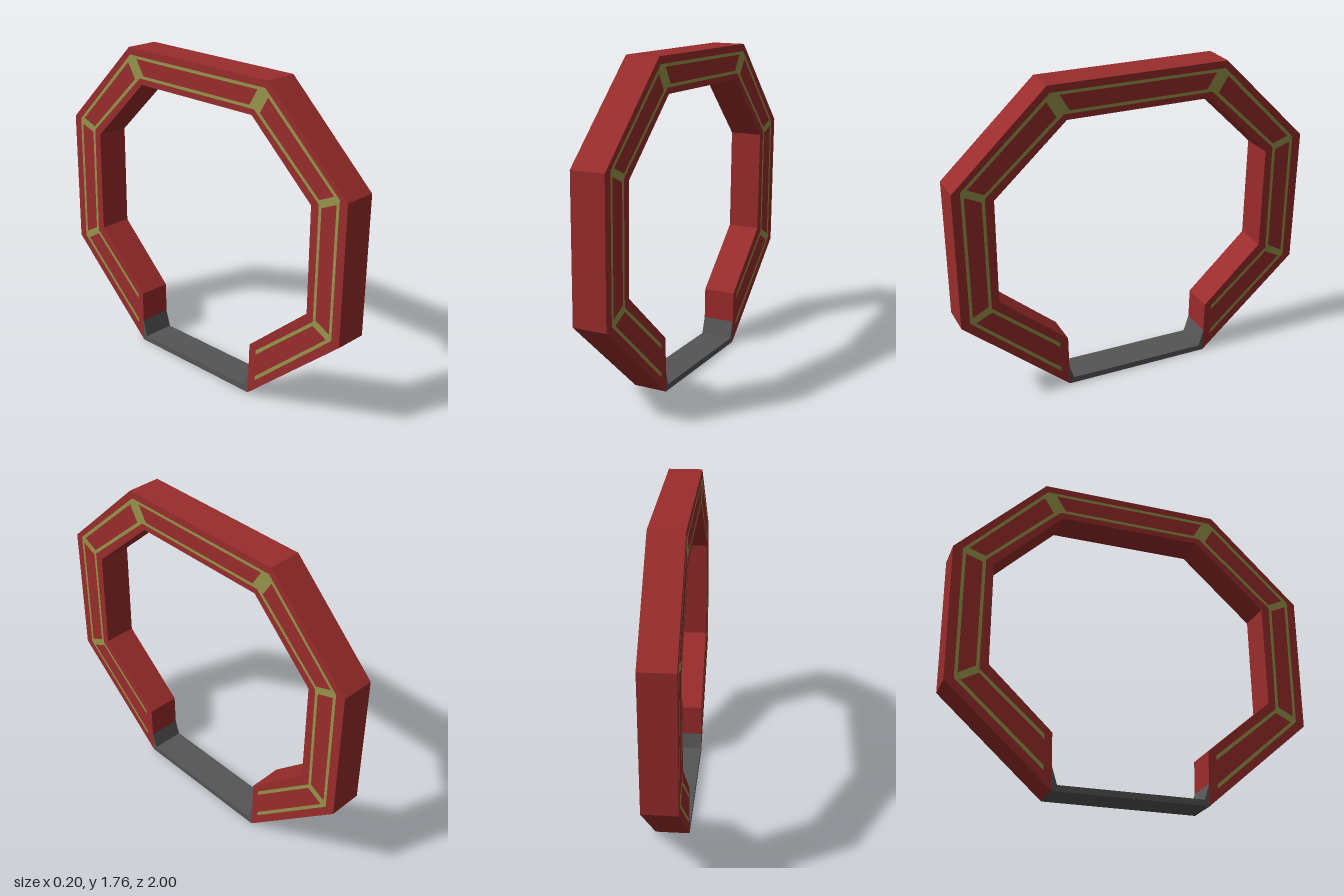
import * as THREE from 'three';
import { mergeGeometries } from 'three/addons/utils/BufferGeometryUtils.js';

const HALF = 0.092; // half the thickness of the ring along x

const mat = (color) => new THREE.MeshStandardMaterial({ color, flatShading: true });

// Shape from [z, y] points; dir mirrors z so the shape can be turned to face +x or -x
const shapeOf = (pts, dir = 1) =>
  new THREE.Shape(pts.map(([z, y]) => new THREE.Vector2(-z * dir, y)));

// Solid slab with a profile in the zy plane, centred on x = 0
function slab(pts, half) {
  const g = new THREE.ExtrudeGeometry(shapeOf(pts), { depth: 2 * half, bevelEnabled: false });
  return g.translate(0, 0, -half).rotateY(Math.PI / 2);
}

const mix = (a, b, t) => [a[0] + (b[0] - a[0]) * t, a[1] + (b[1] - a[1]) * t];

// Point moved from a towards b by a distance d
const toward = (a, b, d) => mix(a, b, d / Math.hypot(b[0] - a[0], b[1] - a[1]));

export function createModel() {
  const model = new THREE.Group();
  const add = (name, geometry, material) => {
    const mesh = new THREE.Mesh(geometry, material);
    mesh.name = name;
    model.add(mesh);
  };

  // Open octagonal frame: outer edge, then inner edge back
  const frame = [
    [0.41, 0.012], [1, 0.525], [1, 1.28], [0.49, 1.76],
    [-0.51, 1.755], [-1, 1.267], [-0.995, 0.51], [-0.43, 0.004],
    [-0.435, 0.305], [-0.775, 0.625], [-0.78, 1.2], [-0.41, 1.565],
    [0.39, 1.57], [0.785, 1.21], [0.79, 0.635], [0.415, 0.31],
  ];
  add('octagonFrame', slab(frame, HALF), mat(0x9a2c2c));

  // Base strap with upturned wedge ends
  const strap = [
    [0.41, 0.012], [0.415, 0.14], [0.385, 0.045],
    [-0.403, 0.037], [-0.435, 0.14], [-0.43, 0.004],
  ];
  add('baseStrap', slab(strap, HALF), mat(0x555555));

  // Inlay: paired lines along each segment, joined by blocks at the corners
  const outer = [
    [0.46, 0.11], [0.952, 0.545], [0.953, 1.285], [0.475, 1.722],
    [-0.5, 1.716], [-0.948, 1.262], [-0.945, 0.525], [-0.475, 0.105],
  ];
  const inner = [
    [0.46, 0.292], [0.832, 0.605], [0.832, 1.228], [0.405, 1.602],
    [-0.425, 1.598], [-0.822, 1.22], [-0.822, 0.595], [-0.475, 0.292],
  ];
  const outerIn = outer.map((p, i) => mix(p, inner[i], 0.14));
  const innerOut = inner.map((p, i) => mix(p, outer[i], 0.14));
  const pieces = [];
  for (let i = 0; i < outer.length - 1; i++) {
    pieces.push([outer[i], outer[i + 1], outerIn[i + 1], outerIn[i]]);
    pieces.push([innerOut[i], innerOut[i + 1], inner[i + 1], inner[i]]);
    if (i === 0) continue;
    const w = i === 3 || i === 4 ? 0.04 : 0.022;
    const a = outerIn[i], b = innerOut[i];
    pieces.push([
      a, toward(a, outerIn[i + 1], w), toward(b, innerOut[i + 1], w),
      b, toward(b, innerOut[i - 1], w), toward(a, outerIn[i - 1], w),
    ]);
  }
  const inlayMat = mat(0x97954a);
  for (const [name, dir] of [['leftInlay', 1], ['rightInlay', -1]]) {
    const flat = pieces.map((p) => new THREE.ShapeGeometry(shapeOf(p, dir)));
    const g = mergeGeometries(flat).translate(0, 0, HALF + 0.001).rotateY((dir * Math.PI) / 2);
    add(name, g, inlayMat);
  }

  // Slight sideways lean
  model.rotation.z = -0.0094;
  model.position.x = -0.0083;
  const root = new THREE.Group();
  root.name = 'octagonRing';
  root.add(model);
  return root;
}
